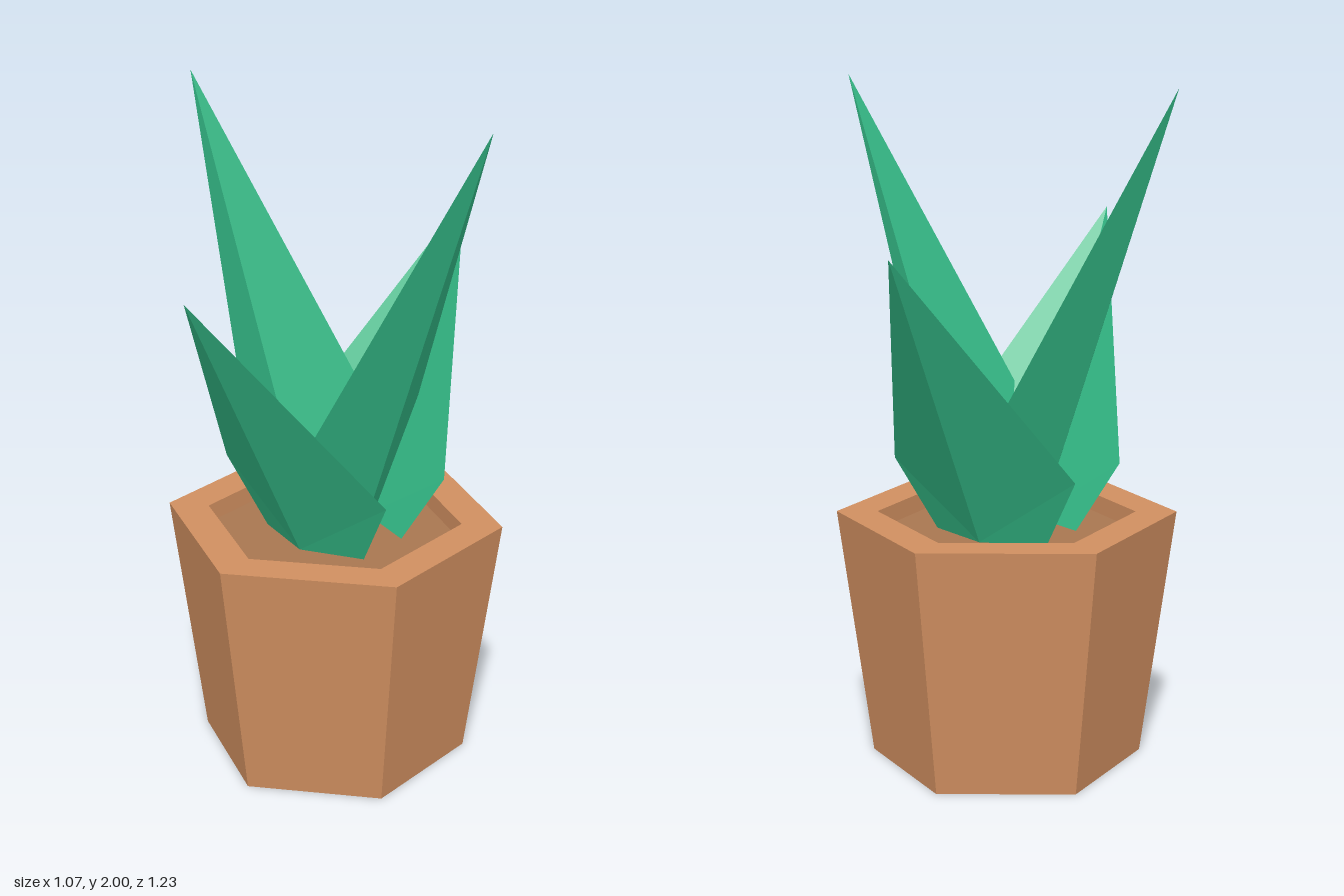
import * as THREE from 'three';

const POT_TOP = 0.745;
const SOIL_Y = 0.69;

// Folded leaf leaning towards +z: a straight centre ridge with two mirrored wings.
function makeLeaf(name, tip, wide, base, ridgeZ, angle, material) {
  const ridge = [0, SOIL_Y, ridgeZ];
  const mirror = ([x, y, z]) => [-x, y, z];
  const positions = [
    ridge, base, wide,
    ridge, wide, tip,
    ridge, mirror(wide), mirror(base),
    ridge, tip, mirror(wide),
  ].flat();
  const geometry = new THREE.BufferGeometry();
  geometry.setAttribute('position', new THREE.Float32BufferAttribute(positions, 3));
  geometry.computeVertexNormals();
  const leaf = new THREE.Mesh(geometry, material);
  leaf.name = name;
  leaf.rotation.y = angle;
  return leaf;
}

export function createModel() {
  const group = new THREE.Group();
  group.name = 'pottedPlant';

  const clay = new THREE.MeshStandardMaterial({ color: 0xd08f60, flatShading: true });
  const earth = new THREE.MeshStandardMaterial({ color: 0xa87650, flatShading: true });
  const green = new THREE.MeshStandardMaterial({ color: 0x33b885, flatShading: true, side: THREE.DoubleSide });

  // Six-sided tapered pot: underside, outer wall, rim and inner wall
  const profile = [[0, 0], [0.4, 0], [0.5, POT_TOP], [0.38, POT_TOP], [0.38, SOIL_Y]]
    .map(([r, y]) => new THREE.Vector2(r, y));
  const pot = new THREE.Mesh(new THREE.LatheGeometry(profile, 6), clay);
  pot.name = 'pot';
  group.add(pot);

  // Soil surface inside the rim
  const soil = new THREE.Mesh(new THREE.CircleGeometry(0.38, 6, Math.PI / 2), earth);
  soil.name = 'soil';
  soil.rotation.x = -Math.PI / 2;
  soil.position.y = SOIL_Y;
  group.add(soil);

  // Broad short leaves at front and back, tall narrow ones at the sides
  [['front', 0], ['back', Math.PI]].forEach(([side, angle]) => group.add(
    makeLeaf(side + 'Leaf', [0, 1.575, 0.615], [0.302, 0.9, 0.135], [0.185, SOIL_Y, 0.088], 0.157, angle, green)));
  [['left', Math.PI / 2], ['right', -Math.PI / 2]].forEach(([side, angle]) => group.add(
    makeLeaf(side + 'Leaf', [0, 2, 0.537], [0.248, 1.08, 0.117], [0.105, SOIL_Y, 0.05], 0.098, angle, green)));

  return group;
}
